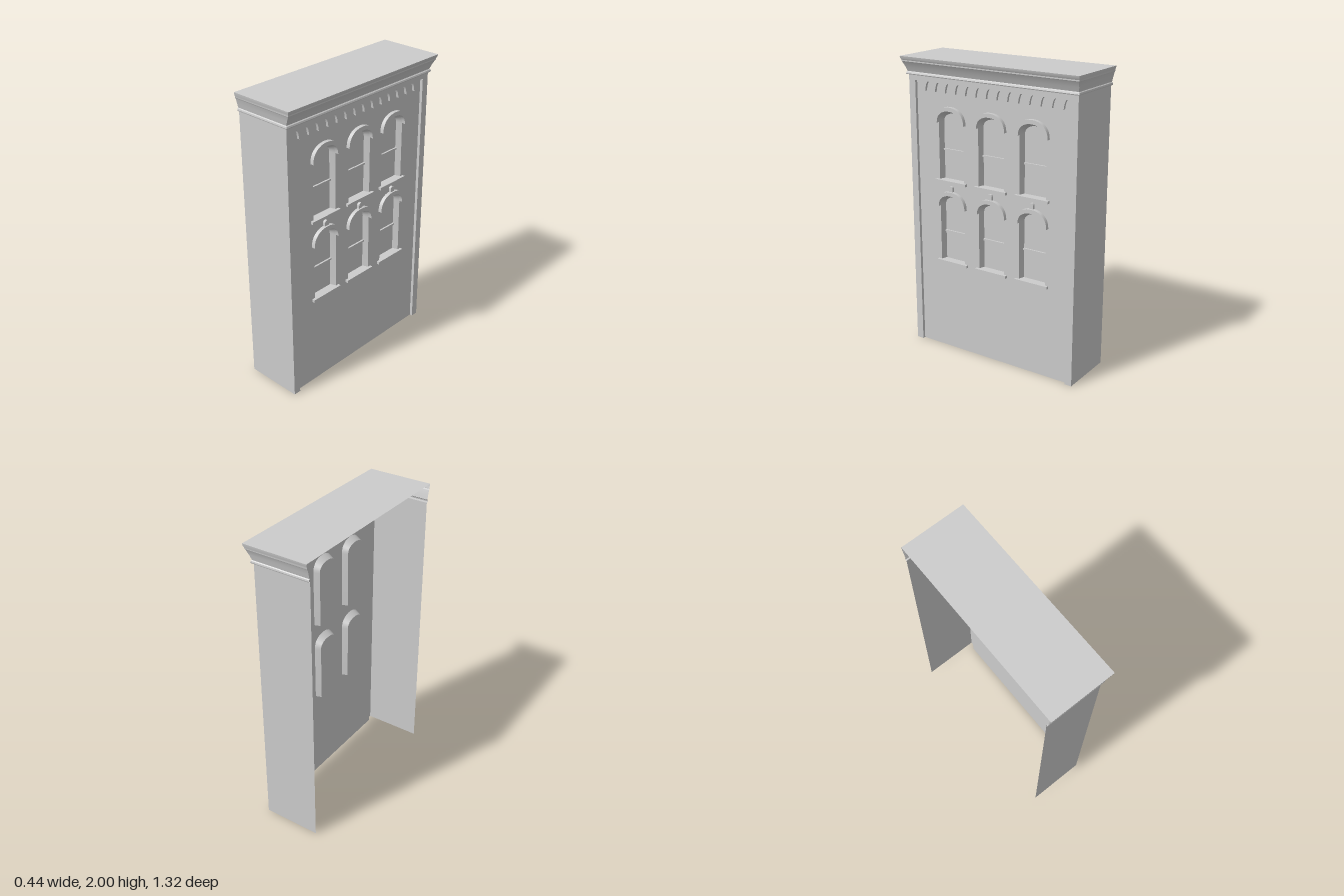
import * as THREE from 'three';
import { toCreasedNormals } from 'three/addons/utils/BufferGeometryUtils.js';

const material = new THREE.MeshStandardMaterial({ color: 0xcccccc, side: THREE.DoubleSide });
const BACK = -0.222, FRONT = 0.17, WALL = 0.15, GLASS = 0.11;
const HALF = 0.632, PANEL = 0.582, PANEL_TOP = 1.845, EAVE = 1.88;

function add(parent, name, geometry) {
  const mesh = new THREE.Mesh(geometry, material);
  mesh.name = name;
  parent.add(mesh);
  return mesh;
}

// Skin between successive rows of [x, y, z] points
function loft(rows) {
  const n = rows[0].length, index = [];
  for (let r = 0; r < rows.length - 1; r++) {
    for (let i = 0; i < n - 1; i++) {
      const a = r * n + i, b = a + n;
      index.push(a, a + 1, b + 1, a, b + 1, b);
    }
  }
  const geo = new THREE.BufferGeometry();
  geo.setAttribute('position', new THREE.Float32BufferAttribute(rows.flat(2), 3));
  geo.setIndex(index);
  return toCreasedNormals(geo, 0.5);
}

// Facade shapes are drawn as (across, up) and turned to face +x
const sheet = (shape, x) => new THREE.ShapeGeometry(shape).rotateY(Math.PI / 2).translate(x, 0, 0);
function slab(shape, x0, x1) {
  const geo = new THREE.ExtrudeGeometry(shape, { depth: x1 - x0, bevelEnabled: false, curveSegments: 6 });
  return toCreasedNormals(geo.rotateY(Math.PI / 2).translate(x0, 0, 0), 0.5);
}
const v2 = (x, y) => new THREE.Vector2(x, y);
const at = (points, x) => points.map((p) => [x, p.y, -p.x]);

// Flattened arch outline from one foot over to the other
function arch(cx, half, base, spring, rise, steps = 16) {
  const points = base < spring ? [v2(cx + half, base)] : [];
  for (let i = 0; i <= steps; i++) {
    const t = (i / steps) * Math.PI, c = Math.cos(t), s = Math.abs(Math.sin(t));
    points.push(v2(cx + half * Math.sign(c) * Math.abs(c) ** 0.9, spring + rise * s ** 0.9));
  }
  if (base < spring) points.push(v2(cx - half, base));
  return points;
}

// Window with splayed reveal, glass, sash rail, sill and hood; returns its wall opening
function addWindow(parent, cx, sillY, hasKnob) {
  const group = new THREE.Group();
  group.name = 'window';
  parent.add(group);
  const base = sillY + 0.018, spring = sillY + 0.4;
  const opening = arch(cx, 0.098, base, spring, 0.085);
  const pane = arch(cx, 0.085, base, spring, 0.058);
  const closed = (pts) => [...pts, pts[0]];

  add(group, 'windowReveal', loft([at(closed(opening), WALL), at(closed(pane), GLASS)]));
  add(group, 'windowPane', sheet(new THREE.Shape(pane), GLASS));
  add(group, 'sashRail', new THREE.BoxGeometry(0.012, 0.012, 0.17).translate(GLASS + 0.006, sillY + 0.215, -cx));
  add(group, 'windowSill', new THREE.BoxGeometry(0.02, 0.018, 0.244).translate(WALL + 0.01, sillY + 0.009, -cx));

  const outer = arch(cx, 0.117, spring, spring, 0.11);
  const inner = arch(cx, 0.096, spring, spring, 0.083);
  add(group, 'windowHood', slab(new THREE.Shape([...outer, ...inner.reverse()]), WALL, 0.175));

  if (hasKnob) {
    const knob = arch(cx, 0.016, sillY + 0.512, sillY + 0.533, 0.016, 8);
    add(group, 'hoodKnob', slab(new THREE.Shape(knob), WALL, 0.168));
  }
  return opening;
}

export function createModel() {
  const model = new THREE.Group();
  model.name = 'buildingFacade';

  // Recessed wall pierced by two rows of three windows
  const wall = new THREE.Shape([v2(-PANEL, 0), v2(PANEL, 0), v2(PANEL, PANEL_TOP), v2(-PANEL, PANEL_TOP)]);
  for (const [sillY, hasKnob] of [[0.622, true], [1.187, false]]) {
    for (const cx of [-0.313, 0, 0.313]) {
      wall.holes.push(new THREE.Path(addWindow(model, cx, sillY, hasKnob)));
    }
  }
  add(model, 'frontWall', sheet(wall, WALL));

  // Corner pilasters joined by a band across the top, with returns to the wall
  const frame = [v2(PANEL, 0), v2(PANEL, PANEL_TOP), v2(-PANEL, PANEL_TOP), v2(-PANEL, 0)];
  const outline = [v2(-HALF, 0), v2(-HALF, EAVE), v2(HALF, EAVE), v2(HALF, 0)];
  add(model, 'pilasterFrame', sheet(new THREE.Shape([...outline, ...frame]), FRONT));
  add(model, 'pilasterReturns', loft([at(frame, FRONT), at(frame, WALL)]));

  // Side walls, open at the back and below
  for (const side of [1, -1]) {
    add(model, 'sideWall', loft([0, EAVE].map((y) => [[BACK, y, side * HALF], [FRONT, y, side * HALF]])));
  }

  // Row of corbels hanging from the band
  for (let i = 0; i < 14; i++) {
    const c = (i - 6.5) * 0.0795;
    const corbel = new THREE.Shape();
    corbel.moveTo(c - 0.039, PANEL_TOP);
    corbel.quadraticCurveTo(c - 0.02, 1.84, c - 0.014, 1.782);
    corbel.lineTo(c + 0.014, 1.782);
    corbel.quadraticCurveTo(c + 0.02, 1.84, c + 0.039, PANEL_TOP);
    add(model, 'corbel', slab(corbel, WALL, 0.167));
  }

  // Cornice: height, front projection, side projection
  const profile = [
    [EAVE, 0, 0], [EAVE, 0.013, 0.01], [1.886, 0.016, 0.012], [1.895, 0.013, 0.01], [1.9, 0.007, 0.005],
    [1.93, 0.02, 0.012], [1.96, 0.037, 0.02], [1.967, 0.042, 0.024], [1.975, 0.042, 0.024],
    [1.985, 0.048, 0.028], [2, 0.052, 0.03],
  ];
  add(model, 'cornice', loft(profile.map(([y, f, s]) => [
    [BACK, y, HALF + s], [FRONT + f, y, HALF + s], [FRONT + f, y, -HALF - s], [BACK, y, -HALF - s],
  ])));

  // Flat roof
  const depth = FRONT + 0.052 - BACK;
  const roof = new THREE.PlaneGeometry(depth, 2 * (HALF + 0.03)).rotateX(-Math.PI / 2);
  add(model, 'roof', roof.translate(BACK + depth / 2, 2, 0));

  return model;
}
